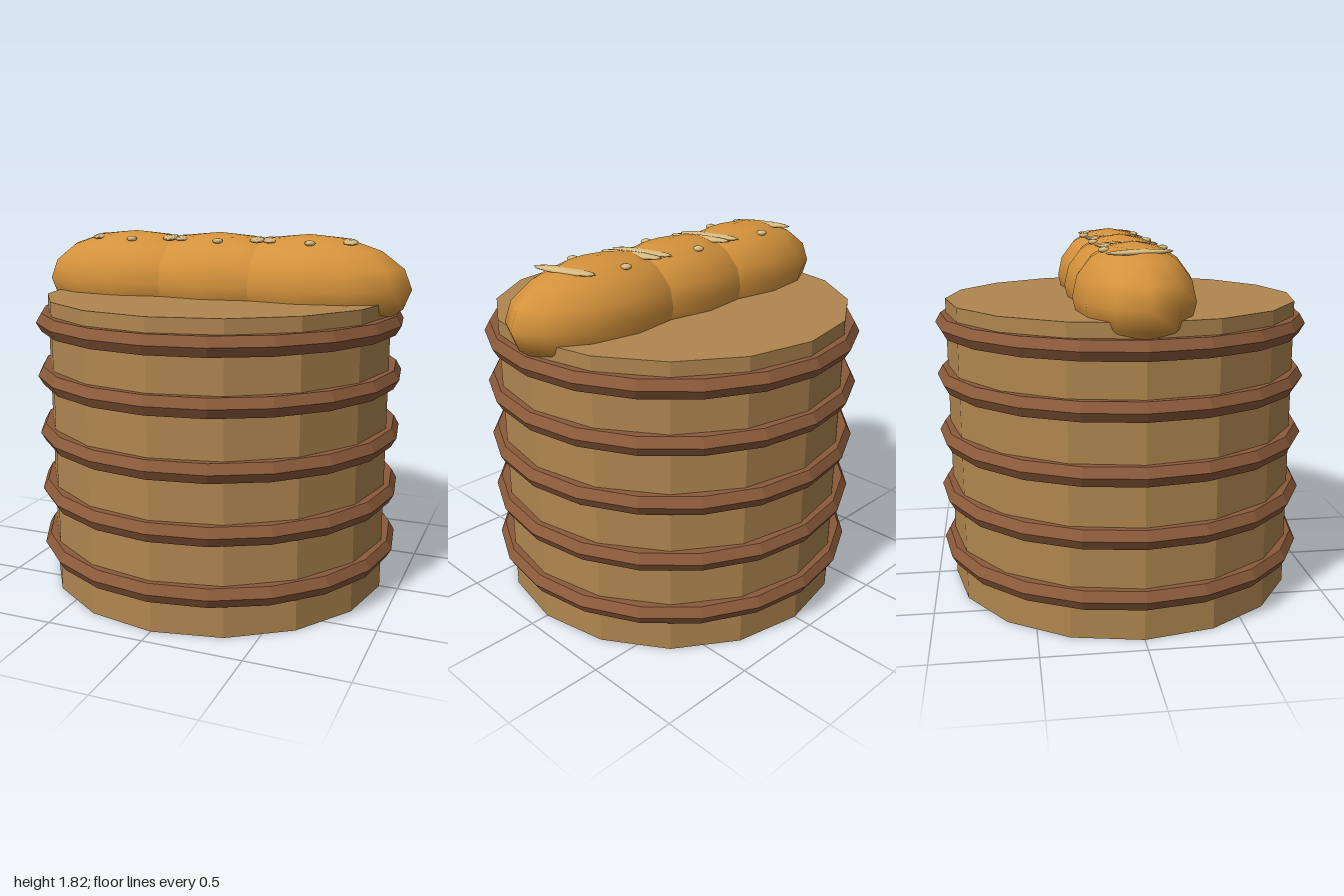
import * as THREE from 'three';

const wood = new THREE.MeshStandardMaterial({ color: 0xb08650, flatShading: true });
const hoopBrown = new THREE.MeshStandardMaterial({ color: 0x8b5a3a, flatShading: true });
const crust = new THREE.MeshStandardMaterial({ color: 0xd4923c });
const cream = new THREE.MeshStandardMaterial({ color: 0xd9bb80 });

function addMesh(parent, name, geometry, material, x, y, z) {
  const mesh = new THREE.Mesh(geometry, material);
  mesh.name = name;
  mesh.position.set(x, y, z);
  parent.add(mesh);
  return mesh;
}

export function createModel() {
  const model = new THREE.Group();
  model.name = 'barrelWithLoaf';

  // Barrel body
  const height = 1.507;
  addMesh(model, 'barrel', new THREE.CylinderGeometry(0.903, 0.903, height, 16), wood, 0, height / 2, 0);

  // Hoops around the barrel
  const hoop = new THREE.TorusGeometry(0.903, 0.055, 6, 20).rotateX(Math.PI / 2);
  for (const y of [0.213, 0.514, 0.815, 1.115, 1.388]) {
    addMesh(model, 'hoop', hoop, hoopBrown, 0, y, 0);
  }

  // Loaf of three overlapping lobes, each with two slashes and two crumbs
  const loaf = new THREE.Group();
  loaf.name = 'loaf';
  model.add(loaf);
  const lobe = new THREE.SphereGeometry(1, 12, 8).scale(0.52, 0.256, 0.29);
  const slash = new THREE.SphereGeometry(1, 12, 8).scale(0.042, 0.014, 0.17).rotateY(0.3);
  const crumb = new THREE.SphereGeometry(1, 8, 6).scale(0.028, 0.014, 0.028);
  for (const x of [-0.48, 0, 0.48]) {
    addMesh(loaf, 'loafLobe', lobe, crust, x, 1.568, 0);
    for (const side of [-1, 1]) {
      addMesh(loaf, 'slash', slash, cream, x + side * 0.205, 1.789, 0);
      addMesh(loaf, 'crumb', crumb, cream, x + side * 0.042, 1.788, side * 0.143);
    }
  }

  return model;
}
